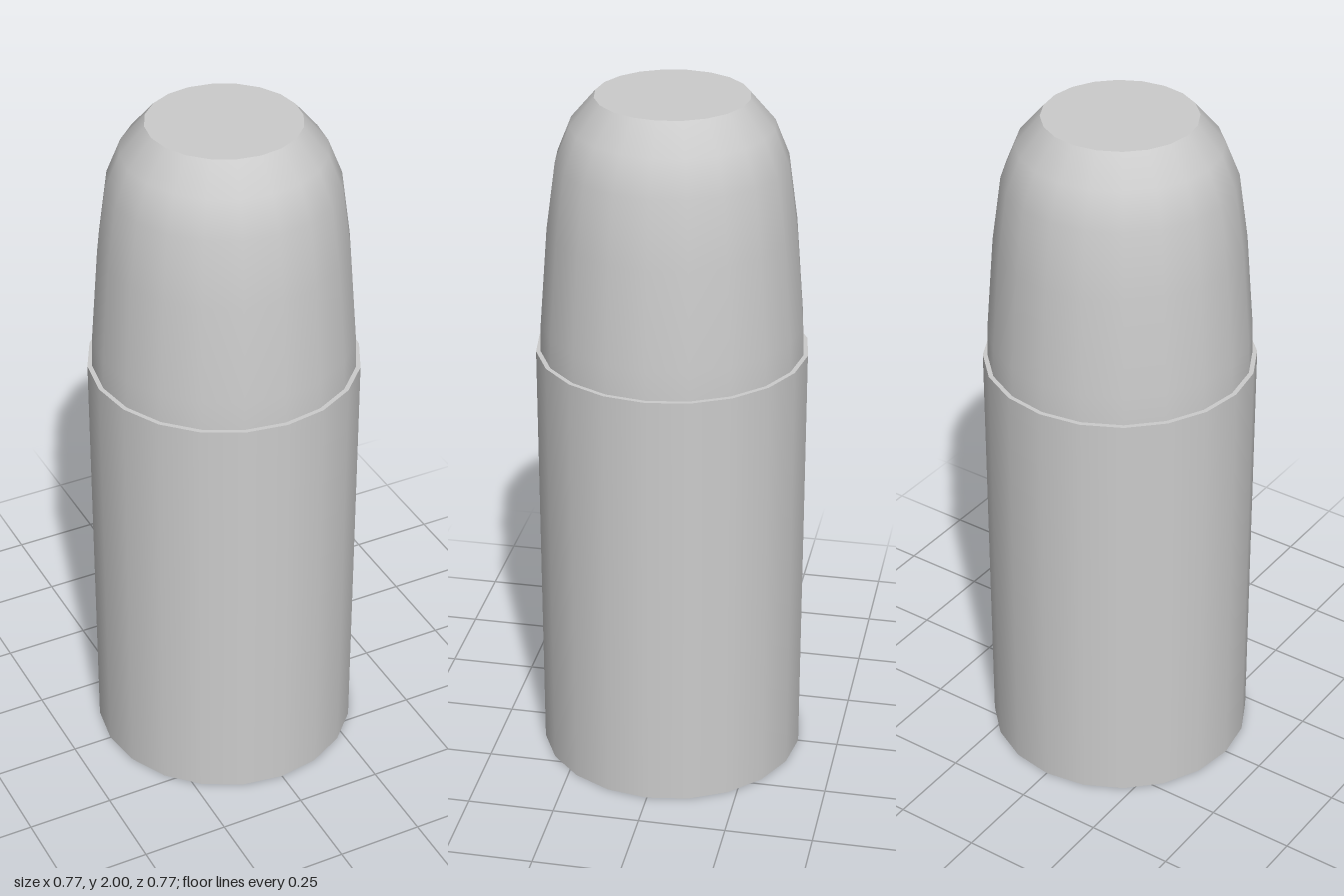
import * as THREE from 'three';

const SIDES = 20;

export function createModel() {
  const model = new THREE.Group();
  const material = new THREE.MeshStandardMaterial({ color: 0xcccccc });
  const add = (name, geometry, y = 0) => {
    const mesh = new THREE.Mesh(geometry, material);
    mesh.name = name;
    mesh.position.y = y;
    model.add(mesh);
  };

  // Straight casing, closed at both ends; its top shows as a narrow rim
  const caseHeight = 1.265;
  add('casing', new THREE.CylinderGeometry(0.383, 0.383, caseHeight, SIDES), caseHeight / 2);

  // Rounded nose, turned from a profile of [radius, height]
  const profile = [[0.37, caseHeight], [0.368, 1.35], [0.346, 1.63], [0.32, 1.82], [0.28, 1.92], [0.212, 2]];
  add('nose', new THREE.LatheGeometry(profile.map(([r, y]) => new THREE.Vector2(r, y)), SIDES));

  // Flat tip closing the nose
  add('noseTip', new THREE.CircleGeometry(0.212, SIDES).rotateX(-Math.PI / 2), 2);

  return model;
}
